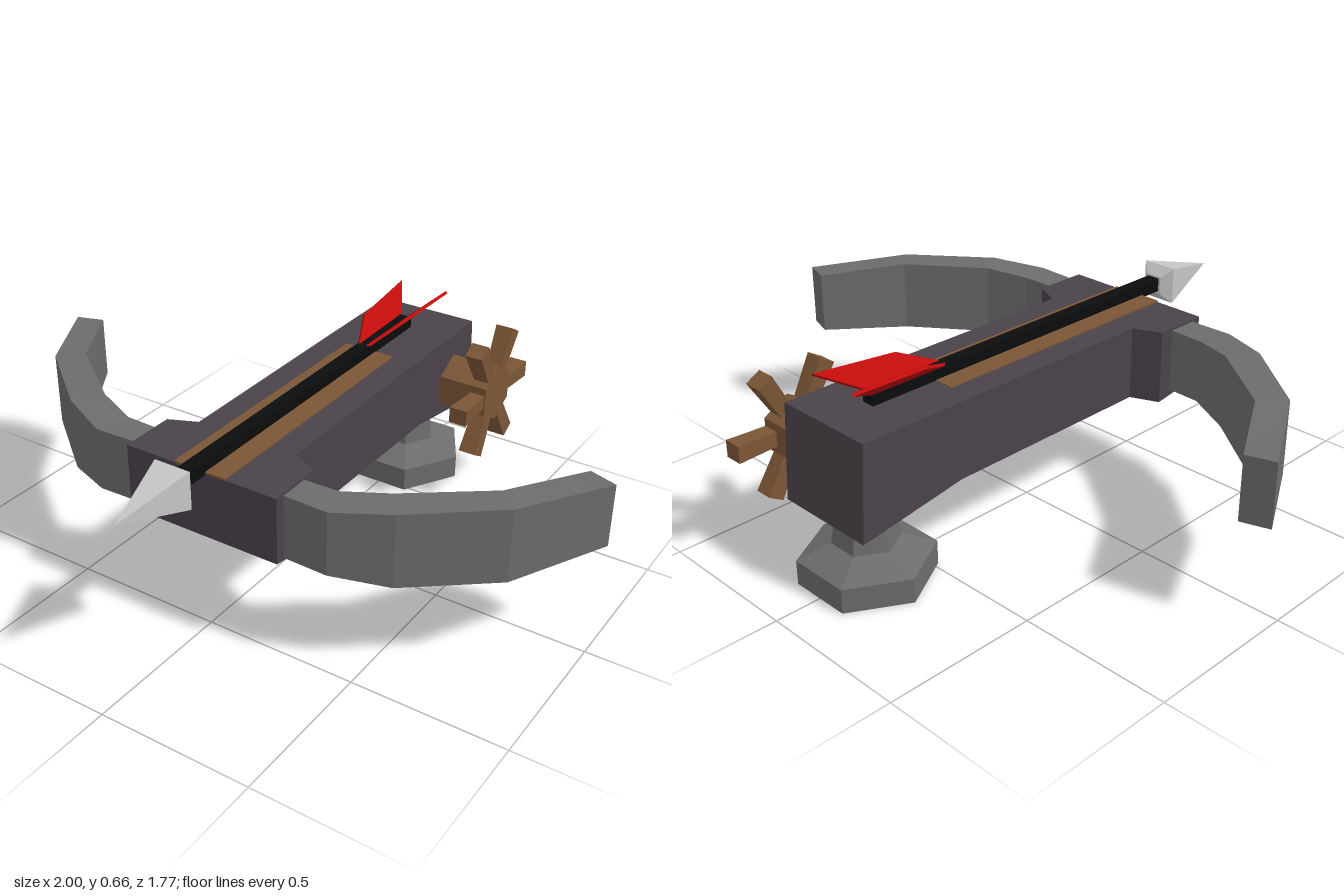
import * as THREE from 'three';

const mat = (name, color, side = THREE.FrontSide) => {
  const m = new THREE.MeshStandardMaterial({ color, flatShading: true, side });
  m.name = name;
  return m;
};

// Solid through rings of corners; each ring runs counter-clockwise seen from the end it leads to
function loft(rings) {
  const pos = [];
  const tri = (a, b, c) => pos.push(...a, ...b, ...c);
  const n = rings[0].length;
  for (let i = 0; i < rings.length - 1; i++) {
    for (let k = 0; k < n; k++) {
      const j = (k + 1) % n, p = rings[i], q = rings[i + 1];
      tri(p[k], p[j], q[j]);
      tri(p[k], q[j], q[k]);
    }
  }
  const first = rings[0], last = rings[rings.length - 1];
  for (let k = 1; k < n - 1; k++) {
    tri(first[0], first[k + 1], first[k]);
    tri(last[0], last[k], last[k + 1]);
  }
  const g = new THREE.BufferGeometry();
  g.setAttribute('position', new THREE.Float32BufferAttribute(pos, 3));
  g.computeVertexNormals();
  return g;
}

// Rectangular ring facing +z
const rect = (hw, y0, y1, z0, z1 = z0) => [[-hw, y0, z0], [hw, y0, z0], [hw, y1, z1], [-hw, y1, z1]];

// Mirror a ring to the other side, keeping its winding
const sided = (ring, s) => (s > 0 ? ring : ring.map(([x, y, z]) => [-x, y, z]).reverse());

export function createModel() {
  const group = new THREE.Group();
  const frame = mat('darkFrame', 0x4a434a);
  const metal = mat('greyMetal', 0x6c6c6c, THREE.DoubleSide);
  const wood = mat('wood', 0x7c5636);
  const black = mat('blackShaft', 0x0b0c0d);
  const red = mat('redVane', 0xc00c0c);
  const steel = mat('paleSteel', 0xc6c6c6);

  const add = (name, geometry, material, parent = group) => {
    const m = new THREE.Mesh(geometry, material);
    m.name = name;
    parent.add(m);
    return m;
  };

  // Stock with a wider head at the front and a deeper tail
  add('stock', loft([
    rect(0.175, 0.245, 0.553, -0.81, -0.79),
    rect(0.175, 0.303, 0.553, -0.44),
    rect(0.175, 0.307, 0.55, 0.3),
    rect(0.265, 0.306, 0.55, 0.34),
    rect(0.265, 0.333, 0.55, 0.525),
  ]), frame);

  // Wooden strip under the bolt
  const strip = add('boltTrack', new THREE.BoxGeometry(0.18, 0.008, 0.922), wood);
  strip.position.set(0, 0.551, 0.065);

  // Bow arms: outer x, z, inner x, z, bottom, top
  const armPath = [
    [0.25, 0.49, 0.25, 0.39, 0.335, 0.543],
    [0.41, 0.495, 0.38, 0.385, 0.335, 0.543],
    [0.58, 0.42, 0.52, 0.33, 0.316, 0.556],
    [0.83, 0.22, 0.76, 0.15, 0.316, 0.556],
    [1.0, -0.075, 0.91, -0.105, 0.335, 0.541],
  ];
  for (const s of [1, -1]) {
    const rings = armPath.map(([ox, oz, ix, iz, b, t]) =>
      sided([[ox, b, oz], [ix, b, iz], [ix, t, iz], [ox, t, oz]], s));
    add(s > 0 ? 'leftBowArm' : 'rightBowArm', loft(rings), metal);
  }

  // Bolt: shaft, point and two vanes
  const bolt = new THREE.Group();
  bolt.name = 'bolt';
  group.add(bolt);
  add('boltShaft', loft([rect(0.022, 0.545, 0.59, -0.63), rect(0.022, 0.545, 0.59, 0.615)]), black, bolt);
  const tipRing = (h, z) => rect(h, 0.565 - h, 0.565 + h, z);
  add('boltPoint', loft([tipRing(0.03, 0.61), tipRing(0.061, 0.64), tipRing(0.0005, 0.885)]), steel, bolt);
  const vane = [[0.015, 0.588, -0.35], [0.07, 0.637, -0.47], [0.09, 0.655, -0.75], [0.018, 0.592, -0.63]];
  for (const s of [1, -1]) {
    const layer = (d) => sided(vane.map(([x, y, z]) => [x - 0.65 * d, y + 0.76 * d, z]), s);
    // reversing the corners of a mirrored layer keeps the outside facing out
    add(s > 0 ? 'leftVane' : 'rightVane', loft([layer(-0.005), layer(0.005)]), red, bolt);
  }

  // Hollow six-sided pedestal
  const profile = [[0.21, 0], [0.21, 0.08], [0.105, 0.125], [0.073, 0.3]].map((p) => new THREE.Vector2(...p));
  const pedestal = add('pedestal', new THREE.LatheGeometry(profile, 6, Math.PI / 2), metal);
  pedestal.position.z = -0.665;

  // Winding wheel with six spokes on its hub
  const wheel = new THREE.Group();
  wheel.name = 'windingWheel';
  wheel.position.set(0.316, 0.377, -0.665);
  group.add(wheel);
  const hub = new THREE.CylinderGeometry(0.1, 0.1, 0.18, 6, 1, false, Math.PI / 2).rotateZ(Math.PI / 2);
  add('wheelHub', hub, wood, wheel).position.x = -0.06;
  const spoke = loft([rect(0.024, -0.023, 0.023, 0.04), rect(0.031, -0.028, 0.028, 0.223)]);
  for (let i = 0; i < 6; i++) add('wheelSpoke', spoke, wood, wheel).rotation.x = (i * Math.PI) / 3;

  return group;
}
